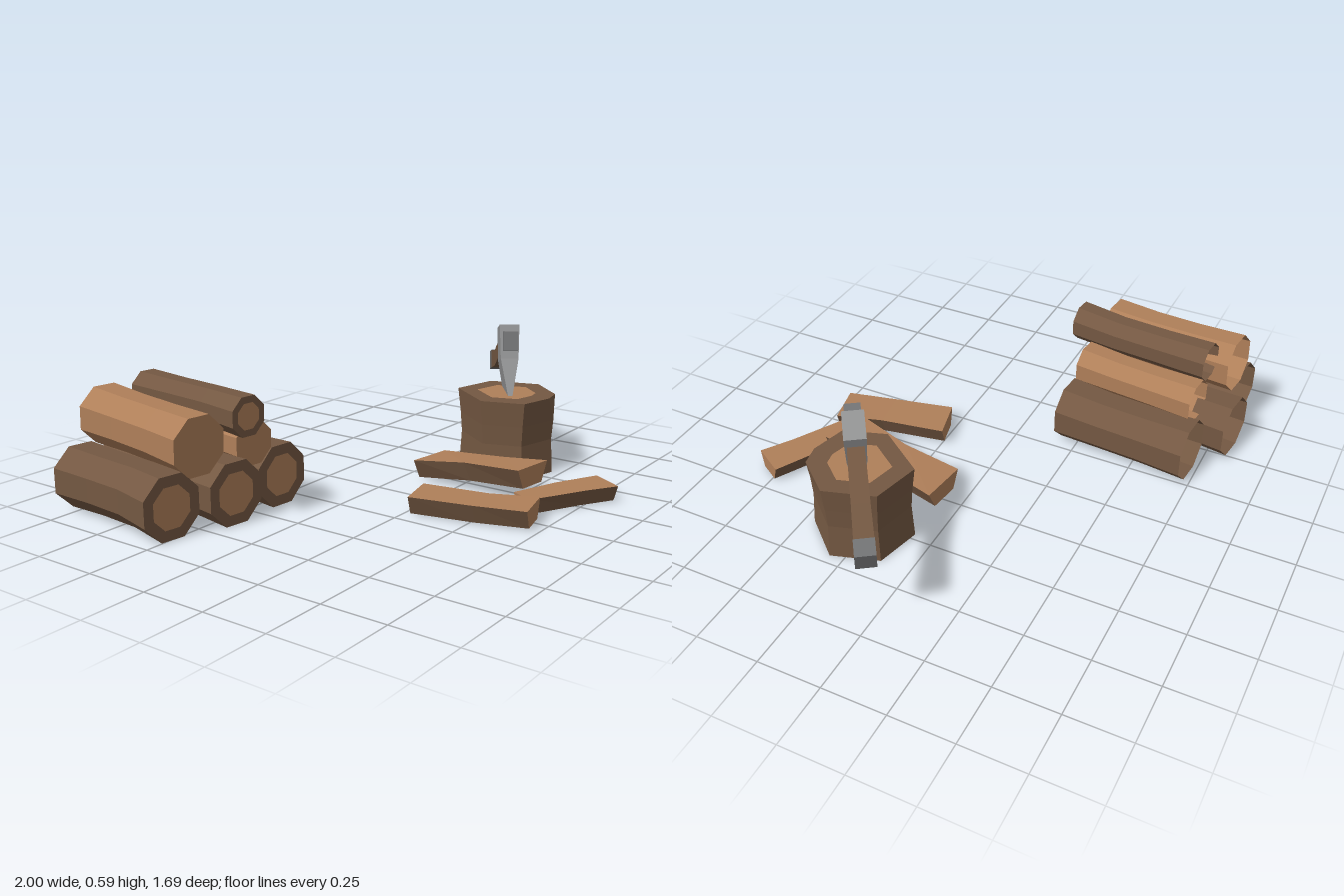
import * as THREE from 'three';

const mat = (name, color) => {
  const m = new THREE.MeshStandardMaterial({ color, flatShading: true, side: THREE.DoubleSide });
  m.name = name;
  return m;
};

// Skins a list of equal rings; sides picks which faces of each ring to build.
function loft(rings, { start = false, end = false, sides = null } = {}) {
  const n = rings[0].length, pos = [];
  const tri = (a, b, c) => pos.push(...a, ...b, ...c);
  for (let r = 0; r < rings.length - 1; r++) {
    for (let i = 0; i < n; i++) {
      if (sides && !sides.includes(i)) continue;
      const j = (i + 1) % n, a = rings[r], b = rings[r + 1];
      tri(a[i], a[j], b[j]);
      tri(a[i], b[j], b[i]);
    }
  }
  const first = rings[0], last = rings[rings.length - 1];
  for (let i = 1; i < n - 1; i++) {
    if (start) tri(first[0], first[i + 1], first[i]);
    if (end) tri(last[0], last[i], last[i + 1]);
  }
  const g = new THREE.BufferGeometry();
  g.setAttribute('position', new THREE.Float32BufferAttribute(pos, 3));
  g.computeVertexNormals();
  return g;
}

function add(parent, name, geometry, material) {
  const mesh = new THREE.Mesh(geometry, material);
  mesh.name = name;
  parent.add(mesh);
  return mesh;
}

export function createModel() {
  const model = new THREE.Group();
  model.name = 'woodpileAndChoppingBlock';
  const bark = mat('bark', 0x745842);
  const wood = mat('cut wood', 0xaf7f59);
  const metal = mat('metal', 0x939495);
  const darkMetal = mat('dark metal', 0x727374);

  // Stacked hollow-backed logs: front centre, back centre, radius, sideways bend, peeled or not
  const logs = [
    [[-0.88, 0.118, -0.245], [-0.805, 0.118, -0.795], 0.127, 0.018, false],
    [[-0.635, 0.118, -0.17], [-0.55, 0.118, -0.835], 0.127, 0.005, false],
    [[-0.375, 0.118, -0.178], [-0.327, 0.118, -0.728], 0.127, 0.005, false],
    [[-0.757, 0.312, -0.225], [-0.685, 0.332, -0.785], 0.118, 0.005, true],
    [[-0.503, 0.27, -0.198], [-0.442, 0.272, -0.7], 0.09, 0.005, true],
    [[-0.603, 0.402, -0.13], [-0.533, 0.406, -0.708], 0.079, 0.012, false],
  ];
  logs.forEach(([f, b, r, bend, peeled], k) => {
    const front = new THREE.Vector3(...f), back = new THREE.Vector3(...b);
    const len = front.distanceTo(back);
    const log = new THREE.Group();
    log.name = `log${k + 1}`;
    const g = new THREE.CylinderGeometry(r, r, len, 8, 3, true, Math.PI / 8);
    g.rotateX(Math.PI / 2).translate(0, 0, -len / 2);
    const p = g.attributes.position;
    for (let i = 0; i < p.count; i++) {
      const t = -p.getZ(i) / len;
      if (t > 0.1 && t < 0.9) {
        p.setXY(i, p.getX(i) * 0.95 + (t < 0.5 ? bend : bend * 0.6), p.getY(i) * 0.95);
      }
    }
    add(log, 'logSide', g, peeled ? wood : bark);
    const inner = r * 0.66;
    if (!peeled) add(log, 'logRim', new THREE.RingGeometry(inner, r, 8, 1, Math.PI / 8), bark);
    add(log, 'logEnd', new THREE.CircleGeometry(peeled ? r : inner, 8, Math.PI / 8), wood);
    log.position.copy(front);
    log.lookAt(front.clone().multiplyScalar(2).sub(back));
    model.add(log);
  });

  // Chopping block with a chipped front corner, open underneath
  const cx = 0.53, cz = 0.265;
  const topOutline = [[0.335, 0.26], [0.39, 0.425], [0.53, 0.46], [0.61, 0.445],
    [0.722, 0.31], [0.66, 0.115], [0.47, 0.07]];
  const lowOutline = topOutline.map((q, i) => (i === 2 || i === 3 ? [0.578, 0.472] : q));
  const ring = (outline, y, s) => outline.map(([x, z]) => [cx + (x - cx) * s, y, cz + (z - cz) * s]);
  const block = new THREE.Group();
  block.name = 'choppingBlock';
  model.add(block);
  add(block, 'blockBark', loft([
    ring(lowOutline, 0, 0.95), ring(lowOutline, 0.14, 0.91), ring(lowOutline, 0.22, 0.94),
    ring(topOutline, 0.32, 1), ring(topOutline, 0.32, 0.6),
  ]), bark);
  add(block, 'blockTop', loft([ring(topOutline, 0.32, 0.6)], { end: true }), wood);

  // Split firewood, open underneath: left and right edges of the flat cut face, height
  const splits = [
    [[[-0.21, 0.075, 0.28], [-0.155, 0.075, 0.52], [-0.105, 0.078, 0.717]],
      [[-0.045, 0.075, 0.24], [0, 0.075, 0.5], [0.06, 0.08, 0.68]], 0.073],
    [[[0.15, 0.085, 0.065], [0.145, 0.12, 0.3], [0.08, 0.155, 0.575]],
      [[0.34, 0.085, 0.09], [0.288, 0.125, 0.4], [0.275, 0.15, 0.592]], 0.078],
    [[[0.045, 0.066, 0.645], [0.265, 0.066, 0.768], [0.378, 0.066, 0.842]],
      [[0.09, 0.066, 0.555], [0.285, 0.066, 0.63], [0.453, 0.066, 0.718]], 0.064],
  ];
  splits.forEach(([left, right, h], k) => {
    const rings = left.map((l, i) => {
      const q = right[i];
      const low = t => [l[0] + (q[0] - l[0]) * t, l[1] + (q[1] - l[1]) * t - h, l[2] + (q[2] - l[2]) * t];
      return [l, low(0.18), low(0.82), q];
    });
    const piece = new THREE.Group();
    piece.name = `splitLog${k + 1}`;
    model.add(piece);
    add(piece, 'splitBark', loft(rings, { sides: [0, 2] }), bark);
    add(piece, 'splitFaces', loft(rings, { start: true, end: true, sides: [3] }), wood);
  });

  // Axe: x runs along the handle, y up through the head
  const axe = new THREE.Group();
  axe.name = 'axe';
  axe.position.set(0.617, 0.573, 0.215);
  axe.rotation.set(0, 0.605, -0.31, 'YXZ');
  model.add(axe);
  const slab = (y, w, d) => [[-w, y, d], [w, y, d], [w, y, -d], [-w, y, -d]];
  add(axe, 'axeHead', loft([slab(-0.3, 0.088, 0.008), slab(-0.14, 0.063, 0.036), slab(0, 0.062, 0.04)],
    { start: true, end: true }), metal);
  const box = (name, x0, x1, y, h, d) =>
    add(axe, name, new THREE.BoxGeometry(x1 - x0, h, d), darkMetal).position.set((x0 + x1) / 2, y, 0);
  box('pollNeck', -0.09, -0.05, -0.072, 0.056, 0.046);
  box('poll', -0.118, -0.085, -0.072, 0.075, 0.06);
  box('handleCap', 0.415, 0.482, -0.094, 0.08, 0.073);

  // Curved handle
  const section = (x, y, h, d) => [[x, y + h, d], [x, y - h, d], [x, y - h, -d], [x, y + h, -d]];
  add(axe, 'handle', loft([
    section(0.04, -0.075, 0.035, 0.03), section(0.13, -0.085, 0.035, 0.032),
    section(0.27, -0.104, 0.033, 0.033), section(0.42, -0.094, 0.039, 0.035),
  ], { start: true, end: true }), bark);

  return model;
}
